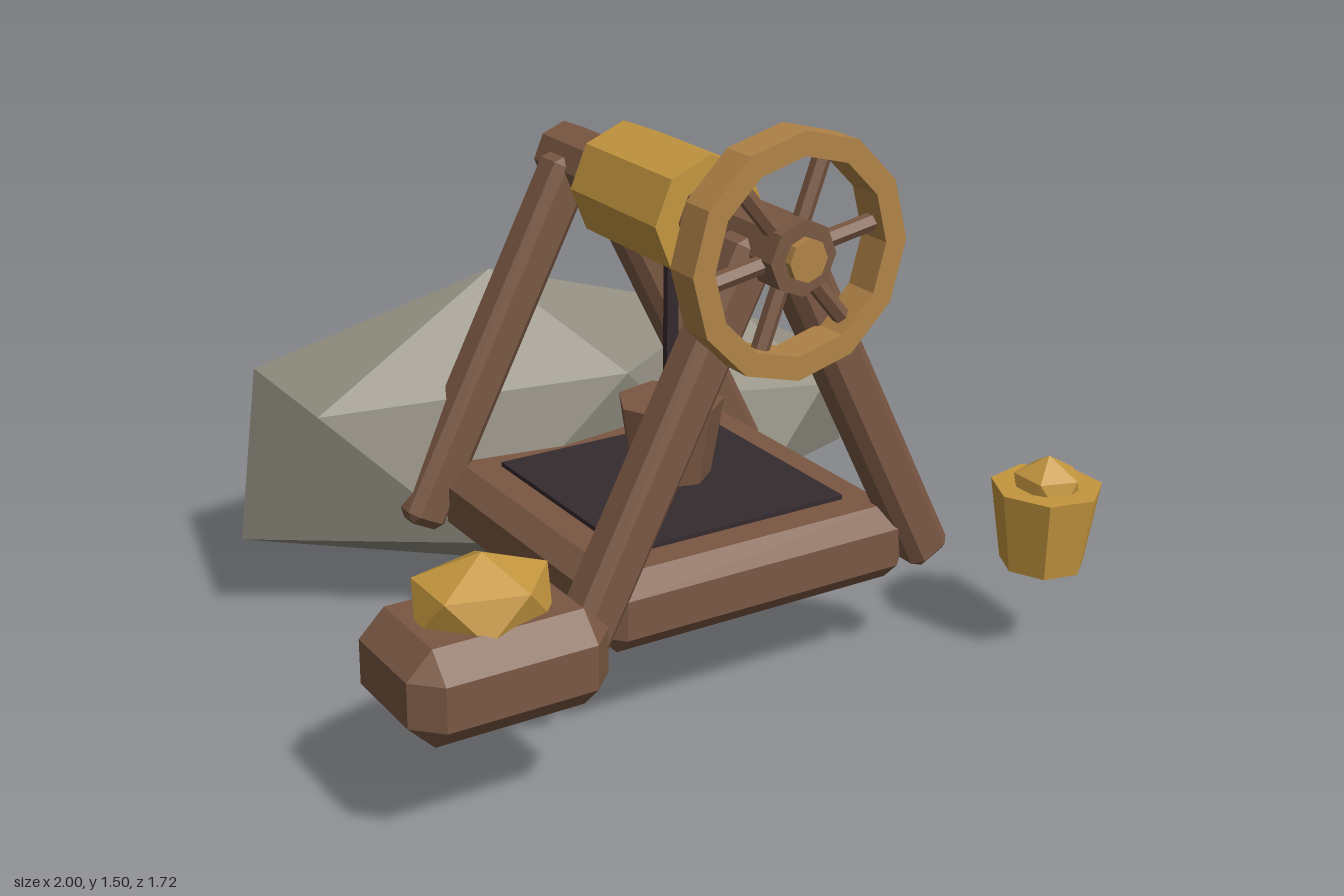
import * as THREE from 'three';
import { ConvexGeometry } from 'three/addons/geometries/ConvexGeometry.js';

const material = (name, color) => {
  const m = new THREE.MeshStandardMaterial({ color, flatShading: true });
  m.name = name;
  return m;
};

// Box with every edge cut at 45 degrees
function chamferBox(w, h, d, c) {
  const pts = [];
  for (const sx of [-1, 1]) for (const sy of [-1, 1]) for (const sz of [-1, 1]) {
    const x = w / 2, y = h / 2, z = d / 2;
    pts.push(
      new THREE.Vector3(sx * x, sy * (y - c), sz * (z - c)),
      new THREE.Vector3(sx * (x - c), sy * y, sz * (z - c)),
      new THREE.Vector3(sx * (x - c), sy * (y - c), sz * z));
  }
  return new ConvexGeometry(pts);
}

// Icosahedron standing on a corner, stretched along the axes
function lump(rx, ry, rz) {
  return new THREE.IcosahedronGeometry(1, 0).rotateZ(-Math.atan(2 / (1 + Math.sqrt(5)))).scale(rx, ry, rz);
}

// Cylinder lying along z
const rod = (r, length, sides) => new THREE.CylinderGeometry(r, r, length, sides).rotateX(Math.PI / 2);

// Seven-sided tapered bucket
const bucketShape = (top, bottom, h) =>
  new THREE.CylinderGeometry(top, bottom, h, 7, 1, false, -Math.PI / 2);

export function createModel() {
  const wood = material('wood', 0x7a5843);
  const gold = material('gold', 0xc4963f);
  const tan = material('tan wood', 0xb08347);
  const stone = material('stone', 0x918d80);
  const dark = material('dark', 0x352b2f);

  const model = new THREE.Group();
  model.name = 'mineHoist';
  const add = (name, geometry, mat, x, y, z, parent = model) => {
    const mesh = new THREE.Mesh(geometry, mat);
    mesh.name = name;
    mesh.position.set(x, y, z);
    parent.add(mesh);
    return mesh;
  };

  const cx = 0.045;   // centre line of the hoist
  const axleY = 1.207;

  // Rocks behind the hoist
  add('largeRock', lump(0.845, 0.434, 0.403), stone, -0.095, 0.434, -0.515);
  add('smallRock', lump(0.325, 0.263, 0.325), stone, 0.71, 0.347, -0.455);

  // Shaft frame with dark opening
  add('shaftFrame', chamferBox(0.89, 0.2, 0.89, 0.05), wood, cx, 0.36, 0.18);
  add('shaftOpening', new THREE.BoxGeometry(0.63, 0.03, 0.63), dark, cx, 0.457, 0.18);

  // Two A-shaped pairs of legs
  const foot = new THREE.Vector2(0.51, 0.305), head = new THREE.Vector2(0.04, 1.225);
  const legLength = foot.distanceTo(head);
  const lean = Math.atan2(foot.x - head.x, head.y - foot.y);
  for (const z of [0.585, -0.245]) for (const side of [-1, 1]) {
    const leg = add('leg', chamferBox(0.12, legLength, 0.12, 0.025), wood,
      cx + side * (foot.x + head.x) / 2, (foot.y + head.y) / 2, z);
    leg.rotation.z = side * lean;
  }

  // Axle and winding drum
  add('axle', rod(0.09, 1.075, 8), wood, cx, axleY, 0.193);
  add('drum', rod(0.155, 0.395, 8), gold, cx, axleY, 0.155);

  // Crank wheel: rim, spokes and cap
  const wheel = new THREE.Group();
  wheel.name = 'wheel';
  wheel.position.set(cx, axleY, 0.68);
  model.add(wheel);
  const rim = [[0.235, -0.046], [0.293, -0.046], [0.293, 0.046], [0.235, 0.046], [0.235, -0.046]]
    .map(([r, h]) => new THREE.Vector2(r, h));
  add('rim', new THREE.LatheGeometry(rim, 12).rotateX(Math.PI / 2), tan, 0, 0, 0, wheel);
  for (let i = 0; i < 6; i++) {
    const a = THREE.MathUtils.degToRad(10 + i * 60);
    const spoke = add('spoke', new THREE.CylinderGeometry(0.022, 0.022, 0.2, 6), wood,
      Math.cos(a) * 0.14, Math.sin(a) * 0.14, 0, wheel);
    spoke.rotation.z = a - Math.PI / 2;
  }
  add('hubCap', rod(0.052, 0.06, 8), tan, 0, 0, 0.04, wheel);

  // Rope and hanging bucket
  add('rope', new THREE.CylinderGeometry(0.019, 0.019, 0.5, 6), dark, cx, 0.9, 0.183);
  add('bucket', bucketShape(0.138, 0.106, 0.2), wood, cx, 0.59, 0.183);

  // Crate with a gold nugget
  add('crate', chamferBox(0.495, 0.235, 0.36, 0.063), wood, -0.753, 0.41, 0.68);
  add('crateNugget', lump(0.183, 0.11, 0.152), gold, -0.755, 0.55, 0.678);

  // Gold pail with a smaller nugget
  add('pail', bucketShape(0.143, 0.109, 0.215), gold, 0.842, 0.365, 0.715);
  add('pailNugget', lump(0.095, 0.09, 0.095), gold, 0.842, 0.463, 0.715);

  return model;
}
